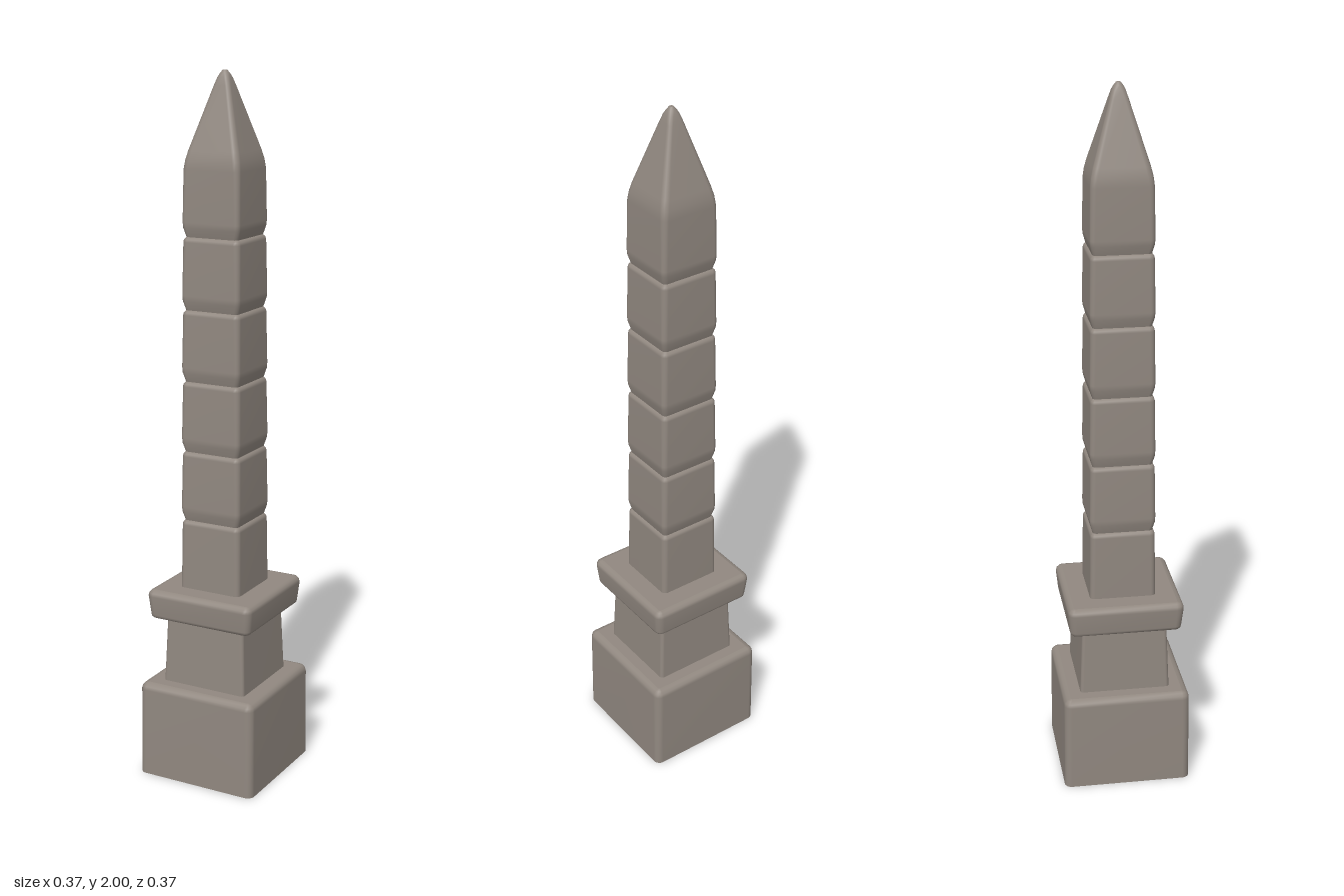
import * as THREE from 'three';

const CORNER_STEPS = 4;

// Rounded square outline: half width h, corner radius r
function outline(h, r) {
  const pts = [];
  for (let c = 0; c < 4; c++) {
    const mid = Math.PI / 4 + c * Math.PI / 2;
    const cx = Math.sign(Math.cos(mid)) * (h - r);
    const cz = Math.sign(Math.sin(mid)) * (h - r);
    for (let i = 0; i <= CORNER_STEPS; i++) {
      const a = (c + i / CORNER_STEPS) * Math.PI / 2;
      pts.push([cx + r * Math.cos(a), cz + r * Math.sin(a)]);
    }
  }
  return pts;
}

// Closed solid lofted through [y, half width, corner radius] sections
function loft(sections) {
  const pos = [], idx = [];
  const n = 4 * (CORNER_STEPS + 1);
  const ring = ([y, h, r]) => {
    const start = pos.length / 3;
    outline(h, r).forEach(([x, z]) => pos.push(x, y, z));
    return start;
  };
  const rings = sections.map(ring);
  for (let s = 0; s + 1 < rings.length; s++) {
    for (let i = 0; i < n; i++) {
      const j = (i + 1) % n;
      const a = rings[s] + i, b = rings[s] + j;
      const c = rings[s + 1] + i, d = rings[s + 1] + j;
      idx.push(a, c, b, b, c, d);
    }
  }
  // Caps have their own corners so their edges stay sharp
  const cap = (section, up) => {
    const start = ring(section), centre = pos.length / 3;
    pos.push(0, section[0], 0);
    for (let i = 0; i < n; i++) {
      const a = start + i, b = start + (i + 1) % n;
      if (up) idx.push(centre, b, a);
      else idx.push(centre, a, b);
    }
  };
  cap(sections[0], false);
  cap(sections[sections.length - 1], true);
  const geo = new THREE.BufferGeometry();
  geo.setAttribute('position', new THREE.Float32BufferAttribute(pos, 3));
  geo.setIndex(idx);
  geo.computeVertexNormals();
  return geo;
}

// Quarter-round edge: top (dir 1) or bottom (dir -1) of a block
function roundEdge(y, h, b, r, dir) {
  const out = [];
  for (let i = 0; i <= 3; i++) {
    const a = i / 3 * Math.PI / 2;
    out.push([y - dir * b * (1 - Math.sin(a)), h - b * (1 - Math.cos(a)), Math.max(r - b * (1 - Math.cos(a)), 0.004)]);
  }
  return dir > 0 ? out : out.reverse();
}

export function createModel() {
  const group = new THREE.Group();
  const stone = new THREE.MeshStandardMaterial({ color: 0x918880 });
  stone.name = 'warm grey stone';
  const add = (name, sections) => {
    const mesh = new THREE.Mesh(loft(sections), stone);
    mesh.name = name;
    group.add(mesh);
  };

  // Pedestal
  add('base', [[0, 0.183, 0.02], ...roundEdge(0.28, 0.182, 0.02, 0.022, 1)]);
  add('neck', [[0.27, 0.13, 0.01], [0.48, 0.122, 0.01]]);
  add('collar', [
    ...roundEdge(0.475, 0.16, 0.012, 0.02, -1),
    ...roundEdge(0.56, 0.166, 0.018, 0.022, 1),
  ]);

  // Stacked shaft blocks, narrowing slightly upward
  const width = y => 0.0945 - (y - 0.56) * 0.0062;
  for (let i = 0; i < 5; i++) {
    const y0 = 0.56 + i * 0.2, y1 = y0 + 0.2;
    const foot = i === 0
      ? [[y0 - 0.01, width(y0), 0.014]]
      : [[y0, width(y0) - 0.008, 0.012], [y0 + 0.025, width(y0) - 0.001, 0.014], [y0 + 0.04, width(y0), 0.014]];
    add('shaftBlock' + (i + 1), [...foot, ...roundEdge(y1, width(y1) - 0.001, 0.014, 0.016, 1)]);
  }

  // Top block with its pyramid point and blunted tip
  add('pointedTop', [
    [1.56, 0.08, 0.012], [1.585, 0.087, 0.014], [1.6, 0.088, 0.014],
    [1.74, 0.086, 0.016], [1.765, 0.083, 0.017], [1.79, 0.077, 0.017],
    [1.96, 0.025, 0.012], [1.98, 0.0185, 0.012], [1.992, 0.0125, 0.011], [2, 0.006, 0.006],
  ]);
  return group;
}
